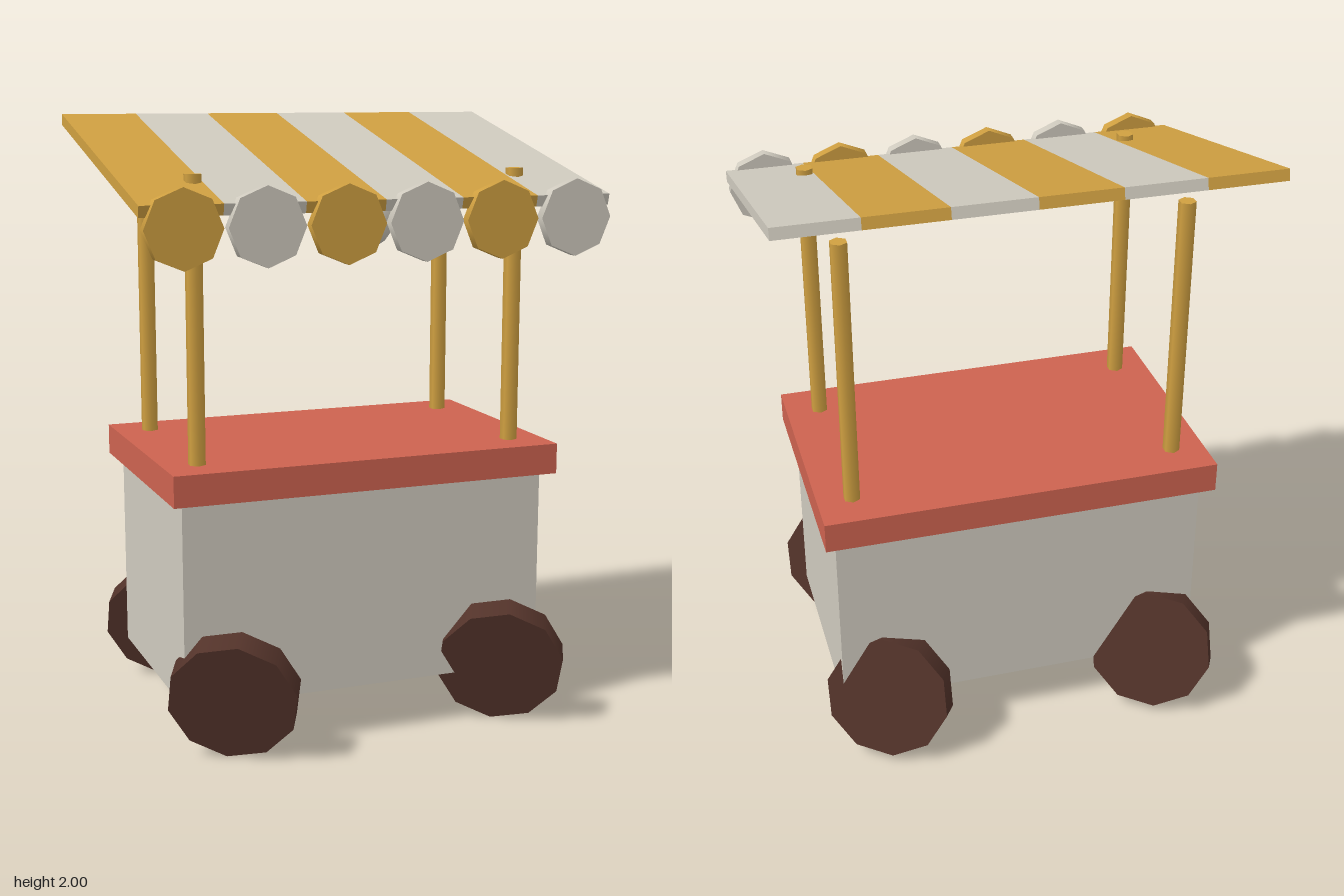
import * as THREE from 'three';

const mat = (name, color) => {
  const m = new THREE.MeshStandardMaterial({ color });
  m.name = name;
  return m;
};

export function createModel() {
  const cart = new THREE.Group();
  cart.name = 'marketCart';
  const cream = mat('cream', 0xd0cbbf);
  const gold = mat('gold', 0xd0a041);
  const red = mat('red', 0xcd6350);
  const brown = mat('brown', 0x53332a);

  const add = (name, geometry, material, x, y, z, parent = cart) => {
    const mesh = new THREE.Mesh(geometry, material);
    mesh.name = name;
    mesh.position.set(x, y, z);
    parent.add(mesh);
    return mesh;
  };

  // Body and counter top
  add('body', new THREE.BoxGeometry(1.23, 0.665, 0.735), cream, 0, 0.5075, 0);
  add('counter', new THREE.BoxGeometry(1.305, 0.1, 0.83), red, 0, 0.89, 0);

  // Four posts and four skewed wheels
  const postGeo = new THREE.CylinderGeometry(0.028, 0.028, 0.895, 6);
  const wheelGeo = new THREE.CylinderGeometry(0.21, 0.21, 0.09, 10);
  for (const sx of [-1, 1]) {
    for (const sz of [-1, 1]) {
      const side = (sz > 0 ? 'front' : 'back') + (sx > 0 ? 'Left' : 'Right');
      add(side + 'Post', postGeo, gold, sx * 0.54, 1.3875, sz * 0.284);
      const wheel = add(side + 'Wheel', wheelGeo, brown, sx * 0.465, 0.217, sz * 0.405);
      wheel.rotation.set(1.876, 0, 0.456);
    }
  }

  // Sloping striped awning with a scalloped front edge
  const awning = new THREE.Group();
  awning.name = 'awning';
  awning.position.y = 1.8625;
  awning.rotation.x = 0.236;
  cart.add(awning);
  const pitch = 0.255;
  const stripeGeo = new THREE.BoxGeometry(pitch, 0.036, 1.03);
  const scallopGeo = new THREE.CylinderGeometry(0.121, 0.121, 0.036, 8).rotateX(Math.PI / 2);
  for (let i = 0; i < 6; i++) {
    const x = (i - 2.5) * pitch;
    const color = i % 2 ? cream : gold;
    add('awningStripe', stripeGeo, color, x, 0, 0, awning);
    add('scallop', scallopGeo, color, x, 1.69, 0.507);
  }

  // Round lamp hanging under the awning
  add('lamp', new THREE.SphereGeometry(0.087, 12, 8), cream, 0, 1.685, 0.337);

  return cart;
}
